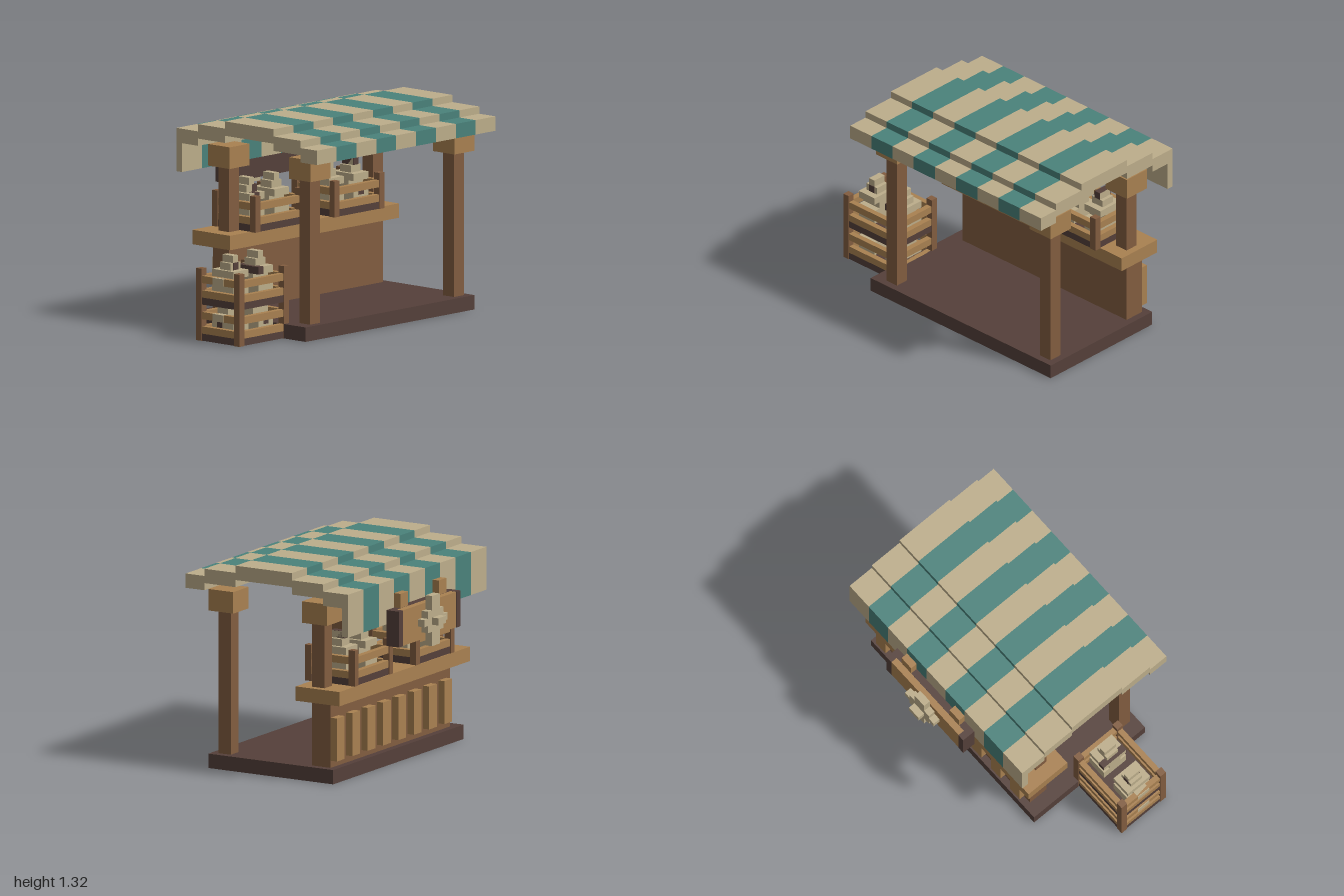
import * as THREE from 'three';

const U = 1 / 22; // size of one block

const mat = (name, color) => {
  const m = new THREE.MeshStandardMaterial({ color });
  m.name = name;
  return m;
};

export function createModel() {
  const brown = mat('brown wood', 0x825d40);
  const light = mat('light wood', 0xa98151);
  const dark = mat('dark wood', 0x55403a);
  const cream = mat('cream', 0xbdae8b);
  const teal = mat('teal cloth', 0x4a827b);

  const model = new THREE.Group();
  model.name = 'marketStall';

  // Box given by its min and max corners in blocks
  const box = (parent, name, material, x0, x1, y0, y1, z0, z1) => {
    const geo = new THREE.BoxGeometry((x1 - x0) * U, (y1 - y0) * U, (z1 - z0) * U);
    const mesh = new THREE.Mesh(geo, material);
    mesh.position.set((x0 + x1) * U / 2, (y0 + y1) * U / 2, (z0 + z1) * U / 2);
    mesh.name = name;
    parent.add(mesh);
  };
  const group = (name, x = 0, y = 0, z = 0, parent = model) => {
    const g = new THREE.Group();
    g.name = name;
    g.position.set(x * U, y * U, z * U);
    parent.add(g);
    return g;
  };

  // Floor and counter
  box(model, 'floor', dark, -8, 12, 0, 2, -21, 13);
  box(model, 'counterWall', brown, -7, -4, 2, 11, -20, 11);
  box(model, 'counterTop', light, -9, -2, 11, 13, -21, 13);
  for (let i = 0; i < 8; i++) {
    const z = -20 + i * 4;
    box(model, 'counterSlat', light, -8, -7, 3, 9, z, z + 2);
  }

  // Corner posts with caps
  for (const z of [-19, 10]) {
    box(model, 'backPost', brown, 9, 11, 2, 22, z - 1, z + 1);
    box(model, 'counterPost', brown, -6, -4, 13, 22, z - 1, z + 1);
    box(model, 'backPostCap', light, 8, 12, 22, 25, z - 2, z + 2);
    box(model, 'counterPostCap', light, -7, -3, 22, 25, z - 2, z + 2);
  }

  // Striped stepped awning with a hanging valance: [x0, x1, y0, y1]
  const awning = group('awning');
  const steps = [[-11, -7, 25, 27], [-7, -2, 26, 28], [-2, 7, 27, 29],
    [7, 12, 26, 28], [12, 15, 25, 27], [-11, -10, 21, 25]];
  for (let i = 0; i < 9; i++) {
    const z = -22 + i * 4;
    for (const s of steps) box(awning, 'awningStripe', i % 2 ? teal : cream, ...s, z, z + 4);
  }

  // Hanging sign with a star
  const sign = group('sign');
  box(sign, 'signBack', dark, -12, -11, 18, 23, -12, 4);
  box(sign, 'signPanel', light, -12.95, -12, 18.02, 22.98, -11, 3);
  for (const z of [-12, 3]) box(sign, 'signEnd', dark, -13, -12, 18, 23, z, z + 1);
  for (const z of [-10, 0]) box(sign, 'signBracket', light, -12, -11, 23, 25, z, z + 2);
  [1, 1, 2, 3, 2, 1, 1].forEach((w, i) =>
    box(sign, 'starRow', cream, -14, -12.95, 17 + i, 18 + i, -4 - w, -4 + w));
  box(sign, 'starCentre', cream, -15, -14, 20, 21, -5, -3);

  // Goods standing in a crate; spots lists dark bands as [row, z]
  const addGoods = (crate, z, spots, full) => {
    const g = group('goods', 0, 0, z, crate);
    box(g, 'body', cream, 2, 6, 1, 3, 0, 3);
    box(g, 'neck', cream, 3, 5, 3, full ? 4 : 5, 0, 3);
    if (full) {
      box(g, 'arms', cream, 2, 6, 4, 5, 0, 3);
      box(g, 'head', cream, 3, 5, 5, 6, 0.5, 2.5);
      box(g, 'tip', cream, 3, 5, 6, 7, 1, 2);
    }
    for (const [row, sz] of spots) {
      const w = row > 4 ? 1.05 : 2.05;
      box(g, 'spot', dark, 4 - w, 4 + w, row, row + 1.02, sz, sz + 1);
    }
  };

  // Slatted crate, 8 wide, 10 deep and 5 high
  const addCrate = (x, y, z, spots, full = true) => {
    const c = group('crate', x, y, z);
    box(c, 'crateFloor', dark, 0.1, 7.9, 0.02, 1, 0.1, 9.9);
    for (const px of [0, 7]) for (const pz of [0, 9])
      box(c, 'cratePost', brown, px, px + 1, 0, 5, pz, pz + 1);
    for (const row of [1, 3]) {
      for (const sx of [0.1, 7.1]) box(c, 'sideSlat', light, sx, sx + 0.8, row, row + 1, 1, 9);
      for (const sz of [0.1, 9.1]) box(c, 'endSlat', light, 1, 7, row, row + 1, sz, sz + 0.8);
    }
    addGoods(c, 1, spots[0], full);
    addGoods(c, 6, spots[1], full);
    return c;
  };
  addCrate(-9, 13, -1, [[], [[4, 1], [5, 0.45]]]);
  addCrate(-9, 13, -17, [[[6, 1], [2, 1]], []]);
  const lower = addCrate(0, 0, 12, [[[2, 1]], []], false);
  const upper = addCrate(0, 5, 12, [[[4, 2]], [[5, 1]]]);

  // Goods poking through the front slats
  for (const c of [lower, upper]) box(c, 'goodsFront', cream, 3, 5, 3, 4, 9, 10);
  box(lower, 'frontSpot', dark, 3, 4, 2, 3, 9, 9.1);

  return model;
}
